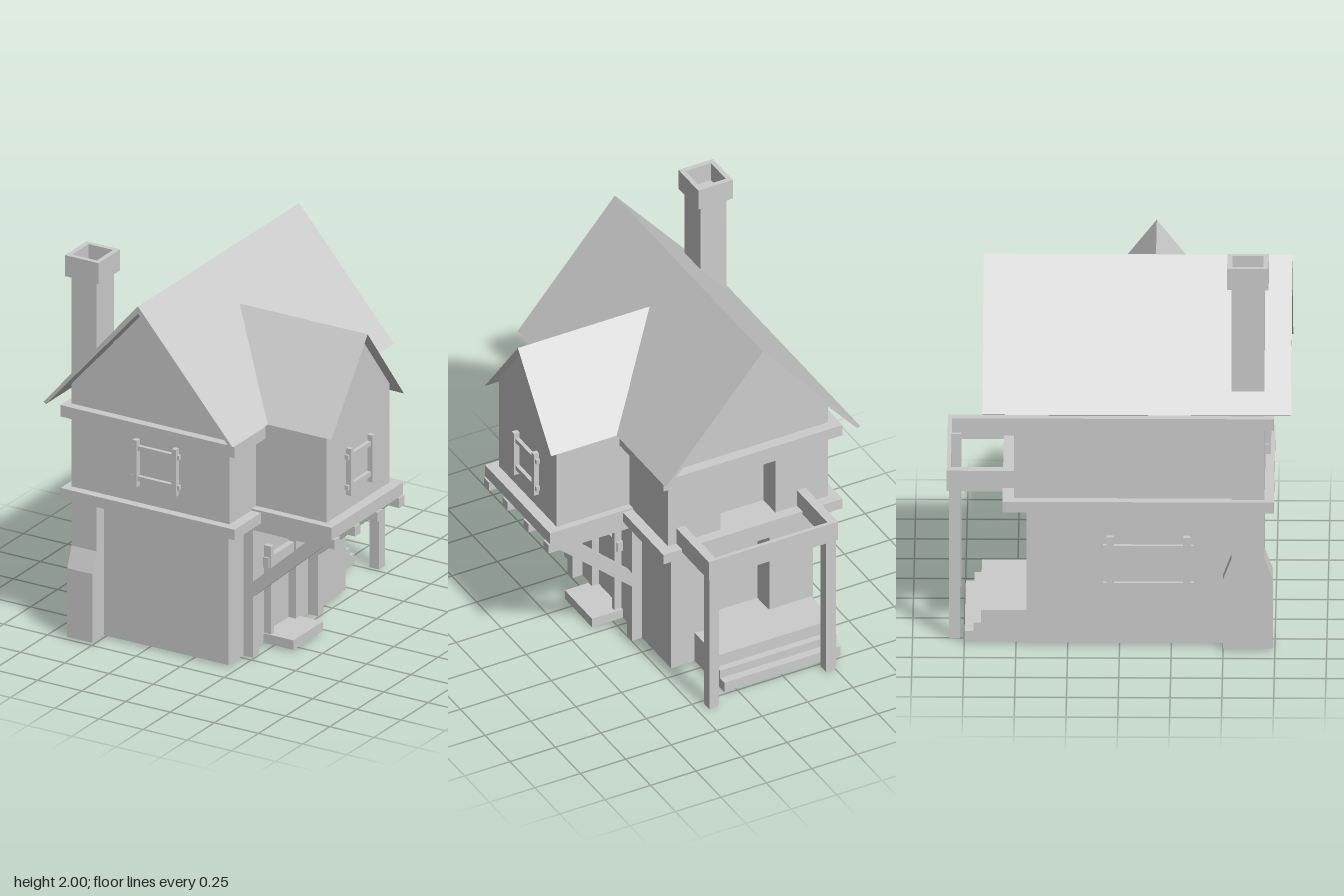
import * as THREE from 'three';

const mat = new THREE.MeshStandardMaterial({ color: 0xcccccc, flatShading: true });
const thin = new THREE.MeshStandardMaterial({ color: 0xcccccc, flatShading: true, side: THREE.DoubleSide });

export function createModel() {
  const root = new THREE.Group();
  root.name = 'house';

  const add = (name, geo, parent = root, material = mat) => {
    const m = new THREE.Mesh(geo, material);
    m.name = name;
    parent.add(m);
    return m;
  };
  // Box given by its limits on each axis
  const box = (name, x0, x1, y0, y1, z0, z1, parent = root) => {
    const m = add(name, new THREE.BoxGeometry(x1 - x0, y1 - y0, z1 - z0), parent);
    m.position.set((x0 + x1) / 2, (y0 + y1) / 2, (z0 + z1) / 2);
    return m;
  };
  const outline = (pts) => new THREE.Shape(pts.map(([x, y]) => new THREE.Vector2(x, y)));
  const rect = (x0, x1, y0, y1) => [[x0, y0], [x1, y0], [x1, y1], [x0, y1]];
  // Extrusion along z from z0 to z1, with optional holes
  const slab = (pts, z0, z1, holes = []) => {
    const s = outline(pts);
    holes.forEach((h) => s.holes.push(outline(h)));
    return new THREE.ExtrudeGeometry(s, { depth: z1 - z0, bevelEnabled: false }).translate(0, 0, z0);
  };

  const cx = -0.19; // centre line of the main house
  const gable = (half, base, eave, apex) =>
    [[cx - half, base], [cx + half, base], [cx + half, eave], [cx, apex], [cx - half, eave]];

  // Lower storey with a recessed back door
  box('lowerWalls', -0.58, 0.2, 0.01, 0.75, -0.33, 0.63);
  add('lowerBackWall', slab(rect(-0.58, 0.2, 0.01, 0.75), -0.45, -0.33, [rect(-0.34, -0.04, 0.17, 0.6)]));

  // Overhanging upper storey with a recessed balcony door
  add('upperWalls', slab(gable(0.44, 0.75, 1.335, 1.845), -0.39, 0.7));
  add('upperBackWall', slab(gable(0.44, 0.75, 1.335, 1.845), -0.51, -0.39, [rect(-0.34, -0.04, 0.785, 1.09)]));

  // Timber bands around the house
  box('lowerBand', -0.68, 0.305, 0.73, 0.785, -0.565, 0.745);
  box('upperBand', -0.68, 0.305, 1.16, 1.22, -0.565, 0.745);

  // Main roof
  add('mainRoof', slab([
    [cx - 0.535, 1.258], [cx - 0.52, 1.25], [cx, 1.84], [cx + 0.52, 1.25],
    [cx + 0.535, 1.258], [cx, 1.878],
  ], -0.66, 0.83));

  // Chimney: shaft, wide foot tapering to the shaft, hollow cap
  const chimney = new THREE.Group();
  chimney.name = 'chimney';
  root.add(chimney);
  box('chimneyShaft', -0.645, -0.503, 0.45, 1.9, 0.54, 0.7, chimney);
  const foot = slab([
    [-0.12, 0.01], [0.12, 0.01], [0.12, 0.37], [0.08, 0.475], [-0.08, 0.475], [-0.12, 0.37],
  ], -0.645, -0.503);
  foot.rotateY(Math.PI / 2).scale(1, 1, 1); // profile now runs along z, depth along x
  add('chimneyFoot', foot, chimney).position.z = 0.62;
  const cap = slab(rect(-0.67, -0.48, -0.72, -0.52), 1.89, 2.0, [rect(-0.645, -0.505, -0.695, -0.545)]);
  add('chimneyCap', cap.rotateX(-Math.PI / 2), chimney);

  // Side bay: walls, roof, floor, joists, posts and braces
  const bay = new THREE.Group();
  bay.name = 'sideBay';
  root.add(bay);
  const bz = 0.168;
  const bayWall = slab([[-0.29, 0.78], [0.29, 0.78], [0.29, 1.315], [0, 1.685], [-0.29, 1.315]], 0.2, 0.65);
  add('bayWalls', bayWall.rotateY(Math.PI / 2), bay).position.z = bz;
  for (const s of [-1, 1]) {
    const g = new THREE.BufferGeometry();
    const e = bz + s * 0.335;
    g.setAttribute('position', new THREE.Float32BufferAttribute(
      [-0.02, 1.69, bz, 0.705, 1.69, bz, 0.705, 1.258, e, 0.345, 1.258, e], 3));
    g.setIndex(s > 0 ? [0, 2, 1, 0, 3, 2] : [0, 1, 2, 0, 2, 3]);
    g.computeVertexNormals();
    add('bayRoofSlope', g, bay, thin);
  }
  box('bayFloor', 0.2, 0.705, 0.73, 0.795, -0.157, 0.5, bay);
  for (const z of [-0.132, 0.07, 0.277, 0.467]) box('joist', 0.18, 0.715, 0.68, 0.73, z - 0.025, z + 0.025, bay);
  for (const z of [-0.132, 0.467]) {
    box('bayPost', 0.19, 0.255, 0.01, 0.73, z - 0.025, z + 0.025, bay);
    add('bayBrace', slab([[0.255, 0.33], [0.65, 0.68], [0.55, 0.68], [0.255, 0.41]], z - 0.025, z + 0.025), bay);
  }

  // Window frame of crossing timbers, built facing +z
  const windowFrame = (name, w, h, t, x, y, z, turn) => {
    const g = new THREE.Group();
    g.name = name;
    for (const s of [-1, 1]) {
      const px = s * (w / 2 - t), py = s * (h / 2 - 1.8 * t);
      box('windowUpright', px - t / 2, px + t / 2, -h / 2, h / 2, -0.02, 0.028, g);
      box('windowRail', -w / 2, w / 2, py - t / 2, py + t / 2, -0.02, 0.02, g);
    }
    g.position.set(x, y, z);
    g.rotation.y = turn;
    root.add(g);
  };
  windowFrame('frontWindow', 0.27, 0.245, 0.024, -0.16, 0.998, 0.7, 0);
  windowFrame('bayWindow', 0.245, 0.245, 0.024, 0.65, 0.998, bz, Math.PI / 2);
  windowFrame('sideWindow', 0.44, 0.32, 0.035, -0.58, 0.41, 0.14, -Math.PI / 2);

  // Side door frame and its step
  box('sideStep', 0.19, 0.37, 0.01, 0.06, 0.035, 0.308);
  for (const z of [0.06, 0.288]) box('doorUpright', 0.19, 0.24, 0.06, 0.52, z - 0.013, z + 0.013);
  box('doorLintel', 0.19, 0.23, 0.405, 0.46, 0.035, 0.31);

  // Back porch: open beam frame on two posts
  for (const [x0, x1] of [[-0.507, -0.46], [0.157, 0.203]]) box('porchSideBeam', x0, x1, 0.768, 0.875, -0.835, -0.5);
  box('porchBackBeam', -0.507, 0.203, 0.768, 0.875, -0.835, -0.815);
  for (const x of [-0.475, 0.168]) box('porchPost', x - 0.027, x + 0.027, 0, 0.8, -0.825, -0.77);

  // Back steps
  for (const [top, z] of [[0.175, -0.67], [0.11, -0.705], [0.065, -0.748]]) {
    box('backStep', -0.57, 0.07, 0.01, top, z, -0.44);
  }
  return root;
}
